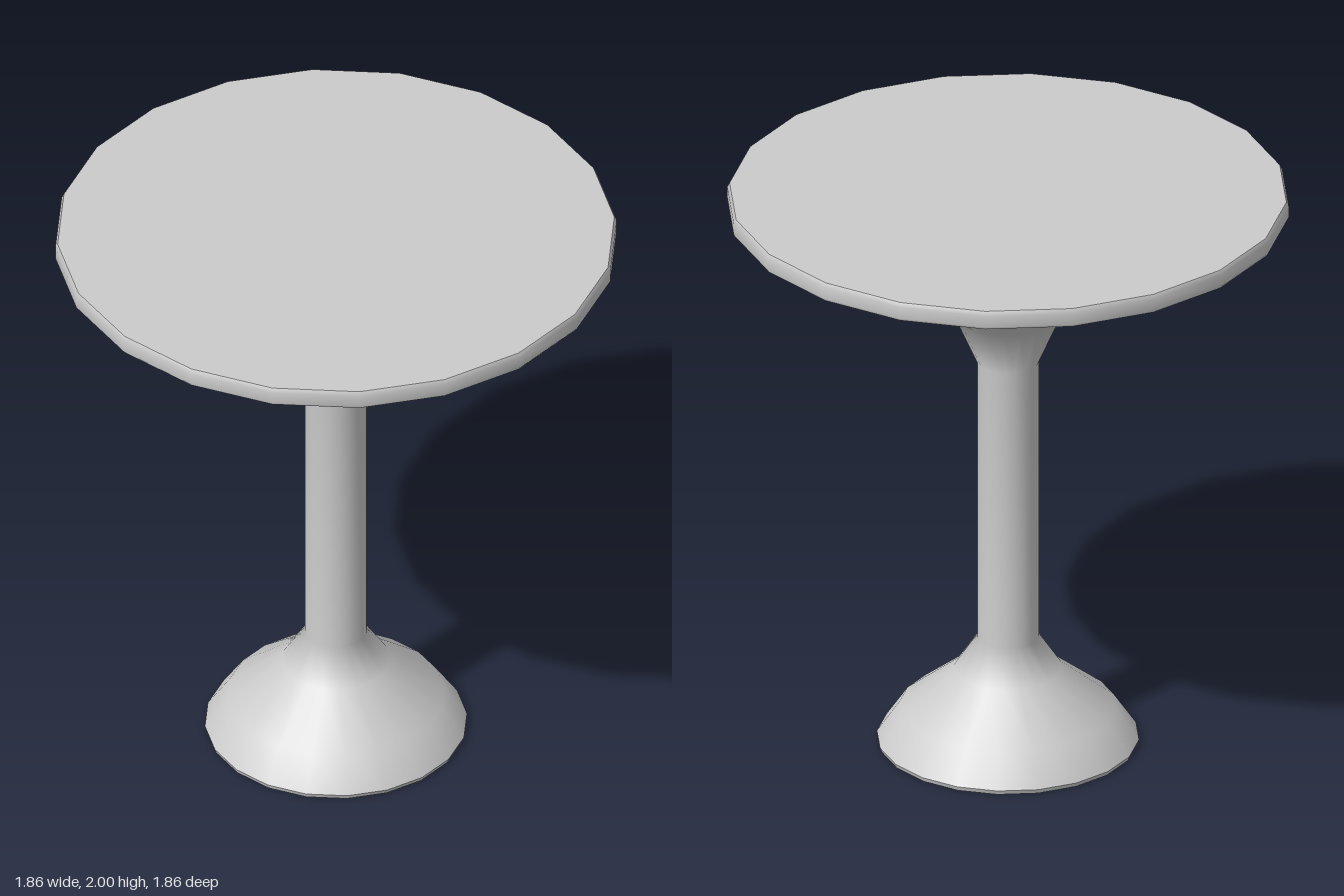
import * as THREE from 'three';

const SIDES = 20;

export function createModel() {
  const group = new THREE.Group();
  const material = new THREE.MeshStandardMaterial({ color: 0xcccccc });

  const add = (name, geometry) => {
    const mesh = new THREE.Mesh(geometry, material);
    mesh.name = name;
    group.add(mesh);
    return mesh;
  };
  // Profile points are [radius, height], listed upward
  const turned = (name, profile) =>
    add(name, new THREE.LatheGeometry(profile.map(([r, y]) => new THREE.Vector2(r, y)), SIDES));
  const disc = (name, radius, y, facing) => {
    const mesh = add(name, new THREE.CircleGeometry(radius, SIDES));
    mesh.rotation.x = -facing * Math.PI / 2;
    mesh.position.y = y;
  };

  // Foot edge and floor face
  turned('footEdge', [[0.43, 0], [0.435, 0.015]]);
  disc('footBottom', 0.43, 0, -1);

  // Flared foot, straight column and trumpet-shaped support in one smooth sweep
  turned('pedestal', [
    [0.435, 0.015], [0.36, 0.125], [0.18, 0.265], [0.103, 0.38],
    [0.103, 1.385], [0.18, 1.56], [0.36, 1.72], [0.635, 1.85], [0.925, 1.935],
  ]);

  // Tabletop with a slightly eased rim
  turned('tabletopRim', [[0.925, 1.935], [0.932, 1.945], [0.932, 1.985], [0.924, 2]]);
  disc('tabletop', 0.924, 2, 1);

  return group;
}
